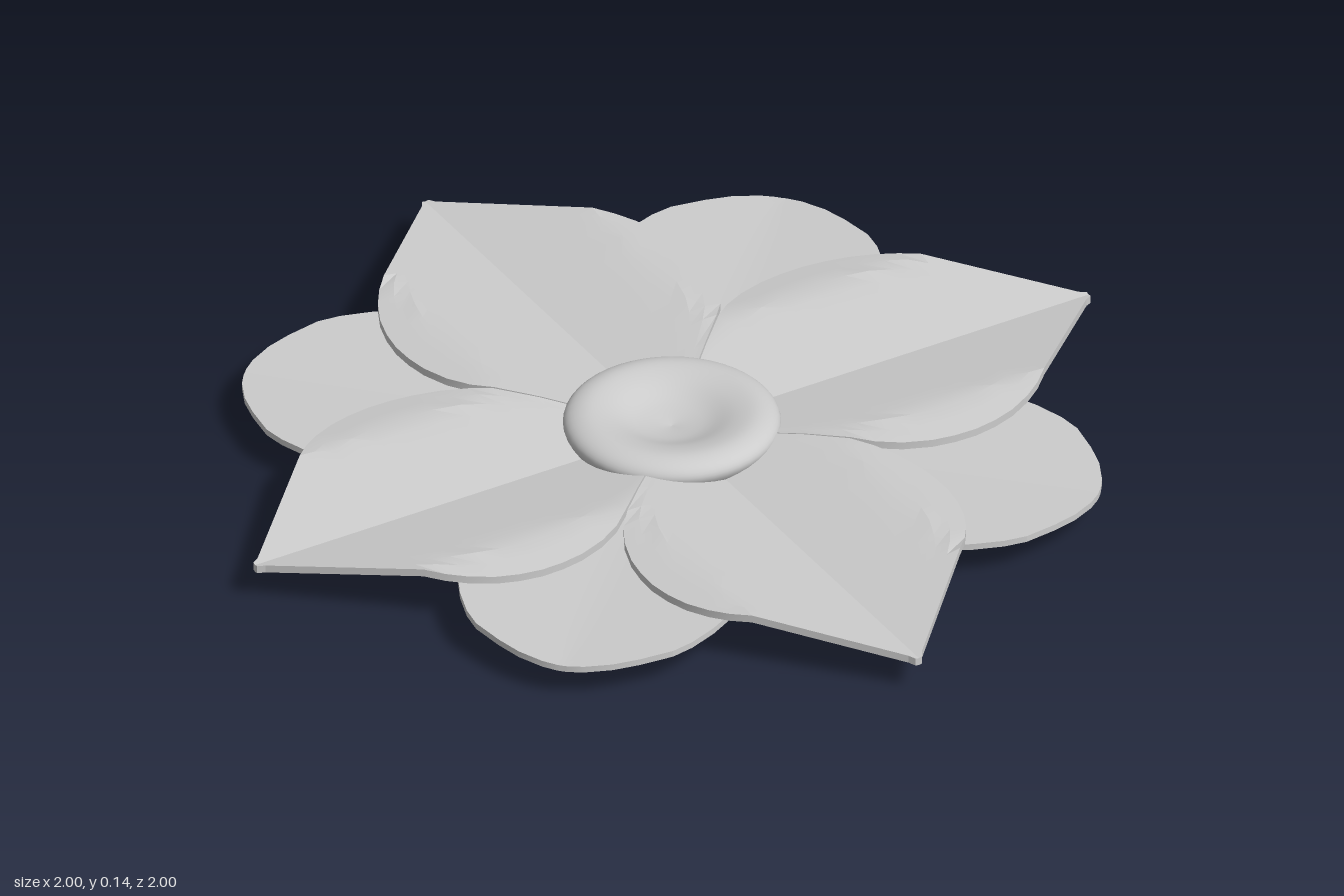
import * as THREE from 'three';
import { toCreasedNormals } from 'three/addons/utils/BufferGeometryUtils.js';

const material = new THREE.MeshStandardMaterial({ color: 0xcccccc });

// Half outlines of the petals: [distance from centre, half width]
const pointedOutline = [
  [0.01, 0.008], [0.12, 0.118], [0.2, 0.198], [0.27, 0.267], [0.31, 0.3], [0.36, 0.327],
  [0.42, 0.346], [0.47, 0.353], [0.52, 0.354], [0.57, 0.347], [0.62, 0.333],
  [0.67, 0.309], [0.71, 0.282], [0.745, 0.25], [0.985, 0.016], [1, 0.008],
];
const roundedOutline = [
  [0.01, 0.008], [0.1, 0.075], [0.2, 0.145], [0.3, 0.21], [0.4, 0.262], [0.5, 0.294],
  [0.58, 0.3], [0.65, 0.29], [0.71, 0.27], [0.77, 0.24], [0.81, 0.21], [0.855, 0.15],
  [0.885, 0.1], [0.905, 0.045], [0.91, 0.012],
];

// Cross-sections: a valley along the axis, drooping at the outer edge
const pointedRise = (w) => (w < 0.25 ? 0.18 * w : 0.045 - 0.16 * (w - 0.25));
const roundedRise = (w) => 0.035 * w;

// Thin slab bent into a petal that points along +z
function petalGeometry(outline, rise, bottom, thickness) {
  const rows = outline.length - 1;
  const geometry = new THREE.BoxGeometry(2, 1, 1, 16, 1, rows);
  const p = geometry.attributes.position;
  for (let i = 0; i < p.count; i++) {
    const [r, halfWidth] = outline[Math.round((p.getZ(i) + 0.5) * rows)];
    const x = p.getX(i) * halfWidth;
    p.setXYZ(i, x, bottom + rise(Math.abs(x)) + (p.getY(i) + 0.5) * thickness, r);
  }
  return toCreasedNormals(geometry, 0.28);
}

function petalRing(name, geometry, startAngle) {
  const ring = new THREE.Group();
  ring.name = name + 's';
  for (let i = 0; i < 4; i++) {
    const petal = new THREE.Mesh(geometry, material);
    petal.name = name;
    petal.rotation.y = startAngle + (i * Math.PI) / 2;
    ring.add(petal);
  }
  return ring;
}

export function createModel() {
  const flower = new THREE.Group();
  flower.name = 'flower';

  // Upper pointed petals and lower rounded petals between them
  flower.add(petalRing('upperPetal', petalGeometry(pointedOutline, pointedRise, 0.065, 0.017), 0));
  flower.add(petalRing('lowerPetal', petalGeometry(roundedOutline, roundedRise, 0.063, 0.014), Math.PI / 4));

  // Dimpled button with a domed underside
  const profile = new THREE.SplineCurve([
    [0, 0], [0.08, 0.008], [0.15, 0.031], [0.2, 0.062], [0.225, 0.098], [0.214, 0.123],
    [0.178, 0.135], [0.13, 0.127], [0.07, 0.104], [0, 0.092],
  ].map(([x, y]) => new THREE.Vector2(x, y))).getPoints(40);
  profile.forEach((v) => { v.x = Math.max(v.x, 0); v.y = Math.max(v.y, 0); });
  const centre = new THREE.Mesh(new THREE.LatheGeometry(profile, 48), material);
  centre.name = 'flowerCentre';
  flower.add(centre);

  return flower;
}
